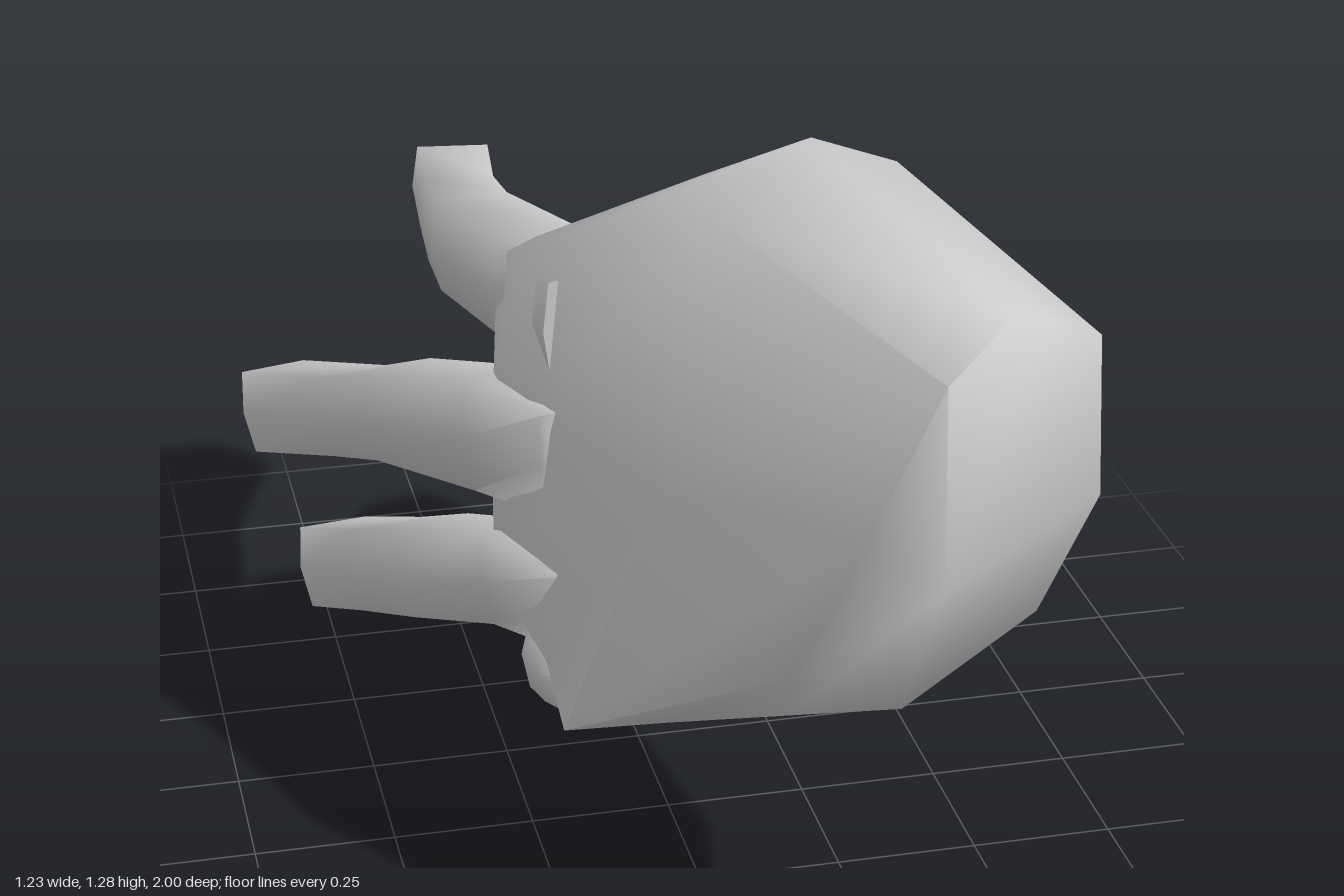
import * as THREE from 'three';
import { toCreasedNormals } from 'three/addons/utils/BufferGeometryUtils.js';

const material = new THREE.MeshStandardMaterial({ color: 0xcccccc });

const vec = (p) => new THREE.Vector3(...p);

function middle(ring) {
  const centre = new THREE.Vector3();
  ring.forEach((p) => centre.addScaledVector(p, 1 / ring.length));
  return centre;
}

// Skin a list of equal-length rings and close both ends with a fan.
function loft(rings, startCentre = middle(rings[0])) {
  const n = rings[0].length;
  const end = (rings.length - 1) * n;
  const points = [...rings.flat(), startCentre, middle(rings[rings.length - 1])];
  const faces = [];
  for (let i = 0; i < n; i++) {
    const j = (i + 1) % n;
    for (let s = 0; s < end; s += n) {
      faces.push([s + i, s + j, s + n + j], [s + i, s + n + j, s + n + i]);
    }
    faces.push([end + n, j, i], [end + n + 1, end + i, end + j]);
  }
  // Turn the faces outward if the enclosed volume comes out negative
  const cross = new THREE.Vector3();
  const volume = faces.reduce((sum, [a, b, c]) =>
    sum + points[a].dot(cross.crossVectors(points[b], points[c])), 0);
  if (volume < 0) faces.forEach((f) => f.reverse());
  const geometry = new THREE.BufferGeometry().setFromPoints(points);
  geometry.setIndex(faces.flat());
  return toCreasedNormals(geometry, 1.5);
}

// Flattened six-sided ring, as fractions of half width and half height
const SECTION = [[1, 0], [0.85, 1], [-0.85, 1], [-1, 0], [-0.85, -1], [0.85, -1]];

// A digit follows stations of [x, y, z, halfWidth, halfHeight] from base to tip.
function digit(stations) {
  const centres = stations.map(([x, y, z]) => vec([x, y, z]));
  const last = centres.length - 1;
  return loft(stations.map(([, , , w, h], i) => {
    const along = centres[Math.min(i + 1, last)].clone()
      .sub(centres[Math.max(i - 1, 0)]).normalize();
    const side = new THREE.Vector3().crossVectors(along, vec([0, 1, 0])).normalize();
    const up = new THREE.Vector3().crossVectors(side, along);
    return SECTION.map(([u, v]) => centres[i].clone()
      .addScaledVector(side, u * w).addScaledVector(up, v * h));
  }));
}

// Rings from wrist to knuckles: thumb edge, back of hand, little-finger edge, palm, thumb mound
const WRIST_TIP = [0.26, 0.81, 1.0];
const PALM = [
  [[0.42, 1.165, 0.79], [0.27, 1.13, 0.94], [0.16, 0.86, 0.91], [0.06, 0.6, 0.85],
    [0.1, 0.435, 0.69], [0.26, 0.49, 0.8], [0.46, 0.68, 0.86], [0.59, 0.83, 0.77],
    [0.61, 1.07, 0.68], [0.5, 1.13, 0.74]],
  [[0.23, 1.29, 0.28], [0.02, 1.235, 0.45], [-0.1, 0.82, 0.6], [-0.25, 0.37, 0.55],
    [-0.08, 0.375, 0.57], [-0.08, 0.5, 0.47], [0.44, 0.68, 0.43], [0.52, 0.84, 0.26],
    [0.515, 1.05, 0.22], [0.38, 1.235, 0.28]],
  [[0.1, 1.15, 0.06], [-0.23, 1.055, 0.1], [-0.23, 0.77, 0.17], [-0.25, 0.42, 0.4],
    [-0.14, 0.41, 0.42], [-0.16, 0.65, 0.31], [-0.08, 0.81, 0.2], [0.09, 0.89, 0.05],
    [0.19, 1.0, -0.06], [0.17, 1.08, -0.03]],
  [[-0.1, 1.02, -0.03], [-0.24, 0.99, -0.06], [-0.27, 0.73, 0.03], [-0.3, 0.48, 0.18],
    [-0.2, 0.43, 0.22], [-0.2, 0.62, 0.09], [-0.16, 0.8, 0.0], [-0.1, 0.88, 0.0],
    [-0.07, 0.94, 0.0], [-0.08, 1.0, -0.01]],
];

const DIGITS = {
  thumb: [[0.4, 0.95, 0.55, 0.11, 0.12], [0.37, 0.98, 0.22, 0.15, 0.13],
    [0.345, 0.975, -0.07, 0.175, 0.1], [0.23, 0.82, -0.39, 0.1, 0.085],
    [0.14, 0.595, -0.68, 0.083, 0.078]],
  indexFinger: [[-0.13, 0.94, 0.18, 0.08, 0.09], [-0.17, 0.93, -0.05, 0.09, 0.09],
    [-0.23, 0.885, -0.36, 0.08, 0.085], [-0.215, 0.835, -0.6, 0.075, 0.08],
    [-0.165, 0.753, -0.975, 0.083, 0.079]],
  middleFinger: [[-0.2, 0.72, 0.25, 0.03, 0.09], [-0.26, 0.69, 0.03, 0.075, 0.1],
    [-0.385, 0.605, -0.26, 0.085, 0.08], [-0.44, 0.515, -0.46, 0.08, 0.075],
    [-0.545, 0.33, -0.905, 0.078, 0.082]],
  ringFinger: [[-0.19, 0.5, 0.38, 0.03, 0.07], [-0.26, 0.48, 0.18, 0.07, 0.08],
    [-0.355, 0.385, -0.05, 0.085, 0.08], [-0.41, 0.265, -0.3, 0.085, 0.077],
    [-0.465, 0.08, -0.68, 0.08, 0.08]],
  littleFinger: [[-0.165, 0.405, 0.5, 0.08, 0.03], [-0.165, 0.355, 0.33, 0.09, 0.05],
    [-0.145, 0.27, 0.12, 0.095, 0.06], [-0.09, 0.185, -0.08, 0.09, 0.06],
    [0.037, 0.075, -0.325, 0.083, 0.058]],
};

export function createModel() {
  const hand = new THREE.Group();
  hand.name = 'hand';
  const add = (name, geometry) => {
    const mesh = new THREE.Mesh(geometry, material);
    mesh.name = name;
    hand.add(mesh);
  };

  add('palm', loft(PALM.map((ring) => ring.map(vec)), vec(WRIST_TIP)));
  for (const [name, stations] of Object.entries(DIGITS)) add(name, digit(stations));
  return hand;
}
